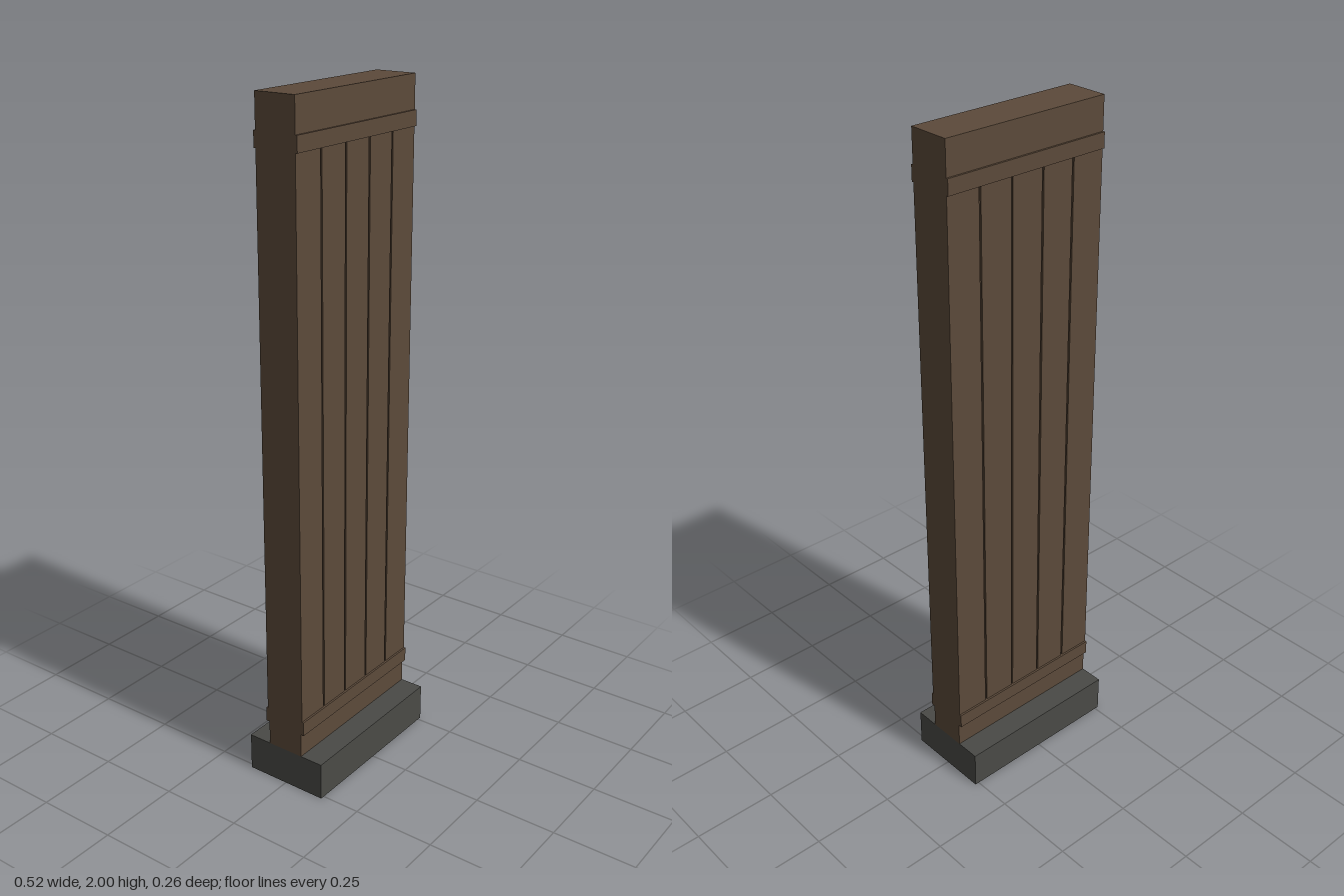
import * as THREE from 'three';

export function createModel() {
  const model = new THREE.Group();
  const wood = new THREE.MeshStandardMaterial({ color: 0x5c4a3a });
  wood.name = 'brown wood';
  const stone = new THREE.MeshStandardMaterial({ color: 0x4a4a46 });
  stone.name = 'grey stone';

  const WIDTH = 0.525;

  // Box given by its centre x, z and its bottom and top heights
  function addBox(name, material, width, depth, bottom, top, x = 0, z = 0) {
    const mesh = new THREE.Mesh(new THREE.BoxGeometry(width, top - bottom, depth), material);
    mesh.name = name;
    mesh.position.set(x, (bottom + top) / 2, z);
    model.add(mesh);
  }

  // Plinth, the slab's core and the solid head
  addBox('base', stone, WIDTH, 0.262, 0, 0.115);
  addBox('core', wood, WIDTH, 0.116, 0.115, 1.88);
  addBox('head', wood, WIDTH, 0.126, 1.88, 2);

  // Five planks on each face, with narrow grooves between them
  const count = 5, gap = 0.006, pitch = WIDTH / count;
  for (const side of [1, -1]) {
    for (let i = 0; i < count; i++) {
      const left = -WIDTH / 2 + i * pitch + (i > 0 ? gap / 2 : 0);
      const right = -WIDTH / 2 + (i + 1) * pitch - (i < count - 1 ? gap / 2 : 0);
      addBox('plank', wood, right - left, 0.006, 0.21, 1.88, (left + right) / 2, side * 0.06);
    }
    // Cross battens over the plank ends
    addBox('lowerBatten', wood, WIDTH, 0.014, 0.19, 0.234, 0, side * 0.062);
    addBox('upperBatten', wood, WIDTH, 0.014, 1.86, 1.904, 0, side * 0.062);
  }
  return model;
}
